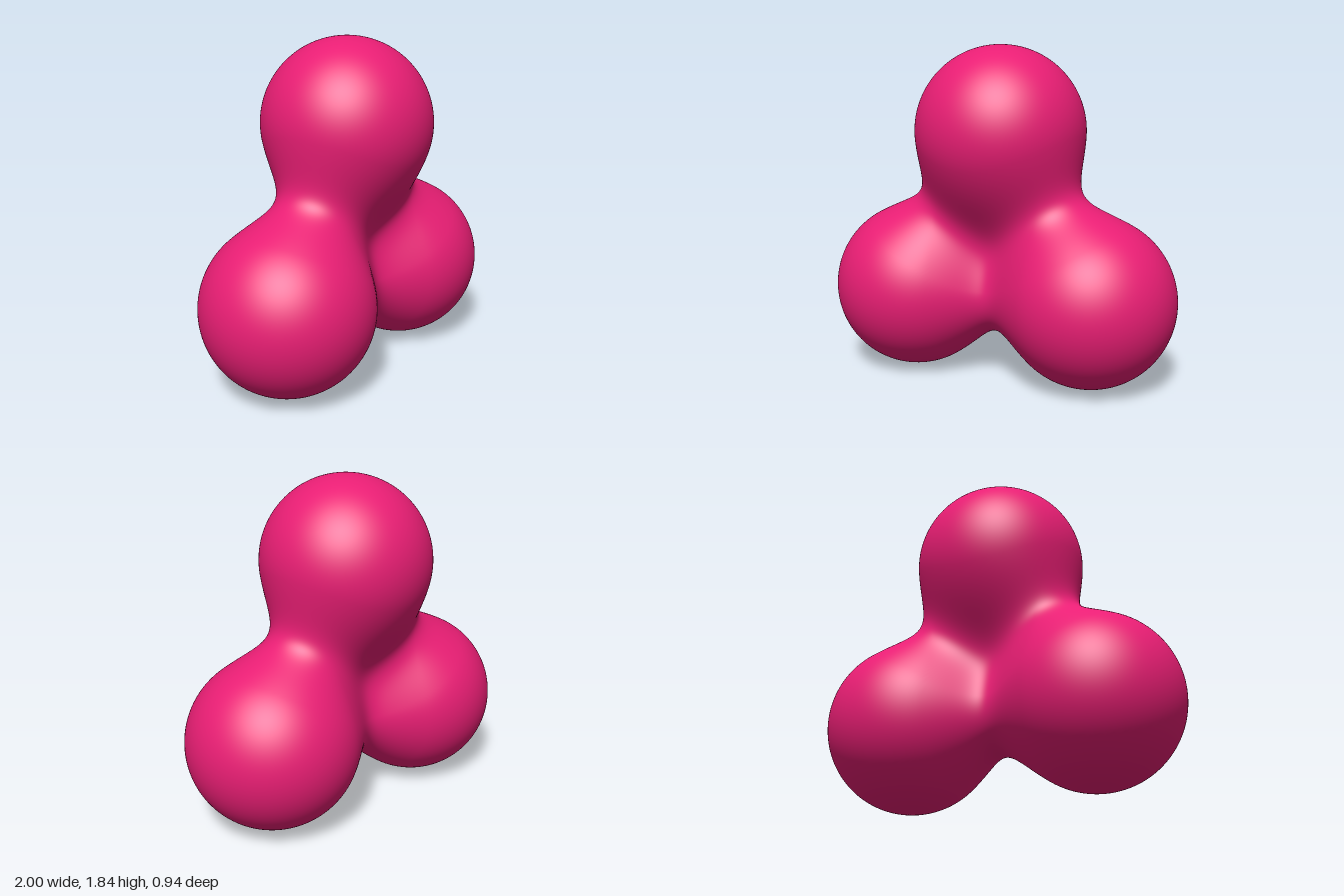
import * as THREE from 'three';

// Three equal balls in a triangle, melted together by a smooth union
const RADIUS = 0.47;
const BLEND = 0.42;
const BALLS = [
  new THREE.Vector3(-0.53, 0.475, 0),
  new THREE.Vector3(0.53, 0.475, 0),
  new THREE.Vector3(0, 1.375, 0),
];
const CORE = new THREE.Vector3(0, 0.775, 0);

function smoothMin(a, b) {
  const h = Math.max(BLEND - Math.abs(a - b), 0) / BLEND;
  return Math.min(a, b) - h * h * BLEND / 4;
}

// Signed distance to the blended body
function field(p) {
  const [a, b, c] = BALLS.map((ball) => p.distanceTo(ball) - RADIUS);
  return smoothMin(smoothMin(a, b), c);
}

// Surface normal from the slope of the field
function slope(p) {
  const e = 0.001;
  const along = (axis) => {
    const q = p.clone();
    q[axis] += e;
    const ahead = field(q);
    q[axis] -= 2 * e;
    return ahead - field(q);
  };
  return new THREE.Vector3(along('x'), along('y'), along('z')).normalize();
}

// Push every vertex of an icosphere out from the core until it meets the surface
function blendedGeometry() {
  const geometry = new THREE.IcosahedronGeometry(1, 60);
  const position = geometry.attributes.position;
  const normal = geometry.attributes.normal;
  const dir = new THREE.Vector3();
  const p = new THREE.Vector3();
  for (let i = 0; i < position.count; i++) {
    dir.fromBufferAttribute(position, i).normalize();
    let inside = 0.05, outside = 1.3;
    for (let step = 0; step < 22; step++) {
      const t = (inside + outside) / 2;
      p.copy(CORE).addScaledVector(dir, t);
      if (field(p) < 0) inside = t;
      else outside = t;
    }
    p.copy(CORE).addScaledVector(dir, inside);
    const n = slope(p);
    position.setXYZ(i, p.x, p.y, p.z);
    normal.setXYZ(i, n.x, n.y, n.z);
  }
  return geometry;
}

export function createModel() {
  const group = new THREE.Group();
  const material = new THREE.MeshStandardMaterial({ color: 0xe91e74 });
  const body = new THREE.Mesh(blendedGeometry(), material);
  body.name = 'mergedBalls';
  group.add(body);
  return group;
}
